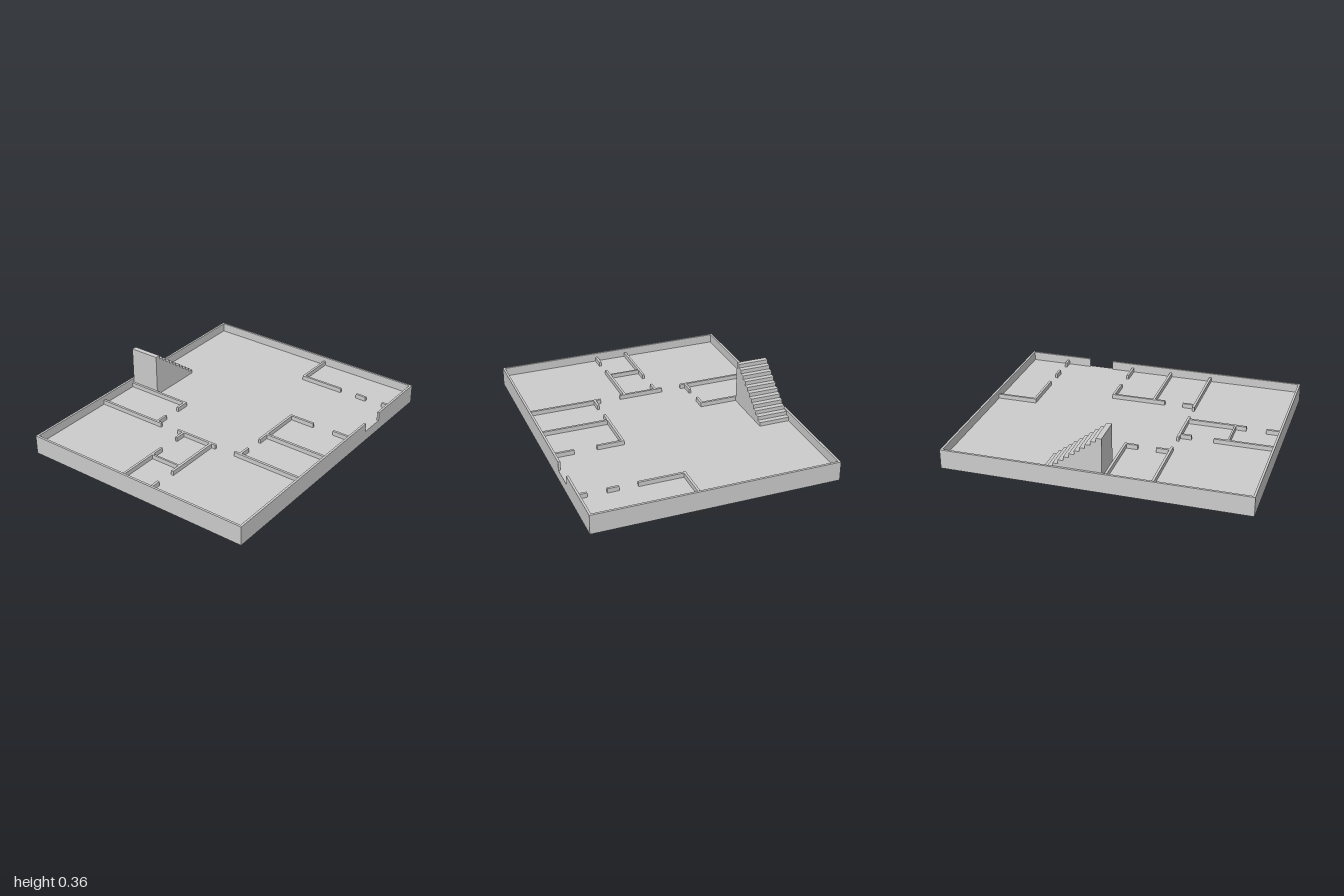
import * as THREE from 'three';

const FLOOR = 0.07, RIM = 0.13, PARTITION = 0.1;
const X = 1, Z = 0.81, T = 0.015;

export function createModel() {
  const model = new THREE.Group();
  const material = new THREE.MeshStandardMaterial({ color: 0xcccccc, flatShading: true });

  // Box given by its x, y and z ranges
  function block(name, x0, x1, y0, y1, z0, z1, parent = model) {
    const mesh = new THREE.Mesh(new THREE.BoxGeometry(x1 - x0, y1 - y0, z1 - z0), material);
    mesh.position.set((x0 + x1) / 2, (y0 + y1) / 2, (z0 + z1) / 2);
    mesh.name = name;
    parent.add(mesh);
  }

  // Floor slab
  block('floorSlab', -X, X, 0, FLOOR, -Z, Z);

  // Outer walls, with the entrance gap at the front
  const outer = new THREE.Group();
  outer.name = 'outerWalls';
  model.add(outer);
  block('backWall', -X, X, FLOOR, RIM, -Z, -Z + T, outer);
  block('rightWall', -X, -X + T, FLOOR, RIM, -Z + T, Z - T, outer);
  block('leftWall', X - T, X, FLOOR, RIM, -Z + T, Z - T, outer);
  block('frontWallRight', -X, 0.38, FLOOR, RIM, Z - T, Z, outer);
  block('frontWallLeft', 0.55, X, FLOOR, RIM, Z - T, Z, outer);

  // Low partitions: x0, x1, z0, z1
  const partitions = new THREE.Group();
  partitions.name = 'partitions';
  model.add(partitions);
  const E = X - T, F = Z - T;
  [
    // back room
    [-0.373, -0.357, -F, -0.295],
    [-0.357, -0.272, -0.343, -0.327],
    [-0.151, -0.06, -0.343, -0.327],
    [-0.076, -0.06, -F, -0.343],
    // right-hand rooms
    [-E, -0.593, -0.117, -0.101],
    [-0.445, -0.373, -0.117, -0.101],
    [-0.373, -0.357, -0.158, 0.15],
    [-0.692, -0.68, -0.101, 0.105],
    [-E, -0.892, 0.105, 0.122],
    [-0.76, -0.373, 0.105, 0.122],
    // front rooms
    [-0.364, -0.348, 0.291, F],
    [-0.348, -0.272, 0.326, 0.342],
    [-0.146, 0.23, 0.326, 0.342],
    [-0.074, -0.058, 0.342, F],
    [0.214, 0.23, 0.342, 0.508],
    [0.214, 0.23, 0.66, F],
    // front left room
    [0.712, E, 0.102, 0.118],
    [0.712, 0.728, 0.118, 0.412],
    [0.712, 0.728, 0.535, 0.61],
    [0.712, 0.728, 0.735, F],
  ].forEach(([x0, x1, z0, z1], i) =>
    block('partition' + (i + 1), x0, x1, FLOOR, PARTITION, z0, z1, partitions));

  // Solid staircase: stepped side profile, extruded along z
  const steps = 11, run = 0.035, rise = 0.0264, x0 = -0.06;
  const profile = new THREE.Shape();
  profile.moveTo(x0, FLOOR);
  profile.lineTo(x0 + steps * run, FLOOR);
  for (let i = 1; i <= steps; i++) {
    profile.lineTo(x0 + (steps - i + 1) * run, FLOOR + i * rise);
    profile.lineTo(x0 + (steps - i) * run, FLOOR + i * rise);
  }
  profile.closePath();
  const stairs = new THREE.Mesh(
    new THREE.ExtrudeGeometry(profile, { depth: 0.21, bevelEnabled: false }), material);
  stairs.position.z = -F;
  stairs.name = 'staircase';
  model.add(stairs);

  return model;
}
